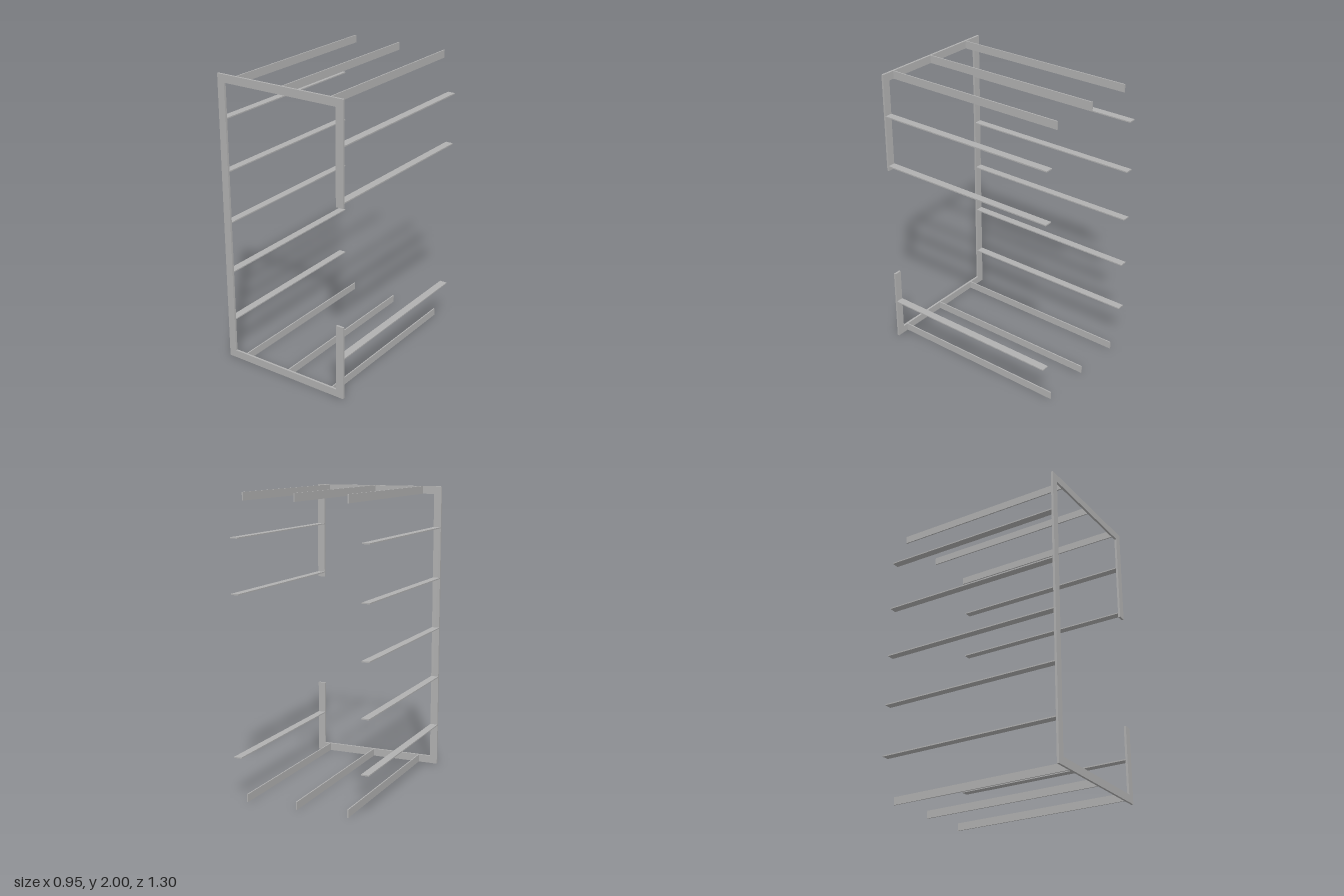
import * as THREE from 'three';

const W = 0.474, H = 2, T = 0.053;      // half width, height, profile width
const FRONT = 0.649, FRAME_D = 0.015;   // front plane and frame depth
const SLAT = 0.008, PITCH = 0.356;      // slat thickness and spacing

export function createModel() {
  const group = new THREE.Group();
  const grey = new THREE.MeshStandardMaterial({ color: 0xb0b0b0 });
  grey.name = 'grey';

  // Front frame: a rectangle with a gap in its left upright
  const outline = [
    [-W, 0], [W, 0], [W, 0.52], [W - T, 0.52], [W - T, T], [-W + T, T],
    [-W + T, H - T], [W - T, H - T], [W - T, 1.325], [W, 1.325], [W, H], [-W, H],
  ].map(([x, y]) => new THREE.Vector2(x, y));
  const frame = new THREE.Mesh(
    new THREE.ExtrudeGeometry(new THREE.Shape(outline), { depth: FRAME_D, bevelEnabled: false }), grey);
  frame.name = 'frontFrame';
  frame.position.z = FRONT - FRAME_D;
  group.add(frame);

  // Slats run from the back of the frame to the rear
  const length = 2 * FRONT - FRAME_D;
  const addSlat = (name, w, h, x, y) => {
    const slat = new THREE.Mesh(new THREE.BoxGeometry(w, h, length), grey);
    slat.name = name;
    slat.position.set(x, y, -FRAME_D / 2);
    group.add(slat);
  };

  // Flat slats on the uprights, none across the gap
  for (let i = 0; i < 5; i++) {
    const y = 0.29 + i * PITCH;
    addSlat('rightSlat', T, SLAT, -W + T / 2, y);
    if (y < 0.52 || y > 1.325) addSlat('leftSlat', T, SLAT, W - T / 2, y);
  }

  // Upright slats on the floor and roof rails
  for (let i = 0; i < 3; i++) {
    const x = -0.333 + i * PITCH;
    addSlat('floorSlat', SLAT, T, x, T / 2);
    addSlat('roofSlat', SLAT, T, x, H - T / 2);
  }
  return group;
}
